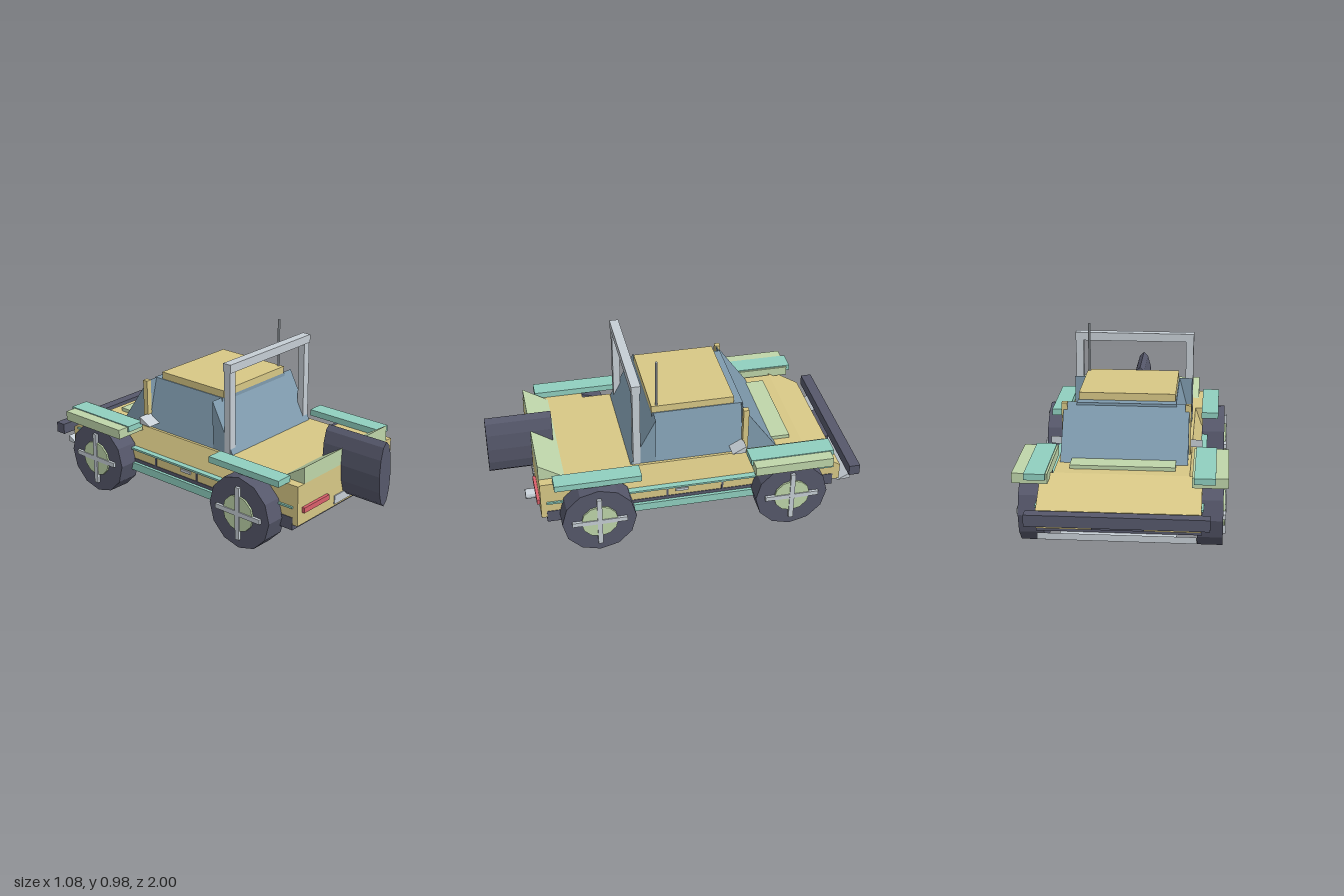
import * as THREE from 'three';

const mat = (name, color) => {
  const m = new THREE.MeshStandardMaterial({ color });
  m.name = name;
  m.flatShading = true;
  return m;
};

export function createModel() {
  const yellow = mat('sand yellow', 0xd8c886);
  const green = mat('pale green', 0xbfd6aa);
  const teal = mat('teal', 0x90d0c0);
  const glass = mat('slate glass', 0x7f9bae);
  const dark = mat('dark rubber', 0x56586b);
  const silver = mat('silver', 0xc6ced5);
  const red = mat('lamp red', 0xda606b);

  const car = new THREE.Group();
  car.name = 'offRoadCar';

  const add = (name, geometry, material, parent = car) => {
    const mesh = new THREE.Mesh(geometry, material);
    mesh.name = name;
    parent.add(mesh);
    return mesh;
  };
  // Box given by its limits on each axis
  const box = (name, material, [x0, x1], [y0, y1], [z0, z1], parent) => {
    const g = new THREE.BoxGeometry(x1 - x0, y1 - y0, z1 - z0);
    g.translate((x0 + x1) / 2, (y0 + y1) / 2, (z0 + z1) / 2);
    return add(name, g, material, parent);
  };
  // The same box on both sides of the car
  const pair = (name, material, [x0, x1], y, z) => {
    box(name + 'Left', material, [x0, x1], y, z);
    box(name + 'Right', material, [-x1, -x0], y, z);
  };
  const extrude = (points, depth) => {
    const shape = new THREE.Shape(points.map(([a, b]) => new THREE.Vector2(a, b)));
    return new THREE.ExtrudeGeometry(shape, { depth, bevelEnabled: false });
  };
  // Side profile of [z, y] points, extruded across x
  const across = (name, material, points, x0, x1) => {
    const g = extrude(points, x1 - x0);
    g.translate(0, 0, -(x1 - x0) / 2);
    g.rotateY(-Math.PI / 2);
    g.translate((x0 + x1) / 2, 0, 0);
    return add(name, g, material);
  };
  // Cross-section of [x, y] points, extruded along z
  const along = (name, material, points, z0, z1) =>
    add(name, extrude(points, z1 - z0).translate(0, 0, z0), material);

  // Body: lower tub, tapered middle, square rear, sloping nose
  const waist = 0.275;
  box('chassis', dark, [-0.413, 0.413], [0.15, 0.22], [-0.86, 0.73]);
  box('lowerBody', yellow, [-0.41, 0.41], [0.18, waist], [-0.9, 0.76]);
  along('middleBody', yellow,
    [[-0.39, waist], [0.39, waist], [0.345, 0.4], [-0.345, 0.4]], -0.7, 0.42);
  box('rearBody', yellow, [-0.41, 0.41], [waist, 0.4], [0.42, 0.76]);
  across('nose', yellow, [[-0.9, waist], [-0.7, waist], [-0.7, 0.4]], -0.41, 0.41);
  across('tailSpoiler', green, [[0.62, 0.4], [0.76, 0.4], [0.76, 0.49]], -0.36, 0.36);
  box('cowl', green, [-0.27, 0.27], [0.4, 0.42], [-0.64, 0.55 - 1.08]);

  // Cabin
  along('sideWindows', glass,
    [[-0.33, 0.4], [0.33, 0.4], [0.26, 0.67], [-0.26, 0.67]], -0.37, 0.13);
  across('windscreen', glass, [[-0.55, 0.4], [-0.36, 0.4], [-0.36, 0.67]], -0.33, 0.33);
  across('rearWindow', glass, [[0.12, 0.4], [0.26, 0.4], [0.12, 0.67]], -0.33, 0.33);
  box('roof', yellow, [-0.255, 0.255], [0.67, 0.71], [-0.32, 0.13]);
  pair('pillar', yellow, [0.31, 0.34], [0.4, 0.67], [-0.385, -0.355]);

  // Roll bar and aerial
  pair('rollBarPost', silver, [0.29, 0.333], [0.4, 0.86], [0.205, 0.245]);
  box('rollBarTop', silver, [-0.335, 0.335], [0.857, 0.903], [0.2, 0.25]);
  const aerial = add('aerial', new THREE.CylinderGeometry(0.007, 0.007, 0.31, 8), silver);
  aerial.position.set(0.245, 0.825, 0.1);

  // Fenders, sills, trim and door details
  pair('frontFender', green, [0.36, 0.54], [0.38, 0.433], [-0.81, -0.38]);
  pair('frontFenderTop', teal, [0.37, 0.477], [0.405, 0.438], [-0.83, -0.37]);
  pair('rearFender', teal, [0.385, 0.48], [0.4, 0.435], [0.225, 0.69]);
  pair('sill', teal, [0.4, 0.43], [0.155, 0.2], [-0.42, 0.29]);
  pair('trimStripe', teal, [0.38, 0.42], [0.272, 0.283], [-0.86, 0.73]);
  for (const z of [0.075, -0.23])
    pair('doorGap', dark, [0.408, 0.415], [0.22, 0.272], [z - 0.005, z + 0.005]);
  pair('doorHandle', silver, [0.405, 0.418], [0.247, 0.263], [-0.04, 0.03]);
  for (const [name, x0, x1] of [['mirrorLeft', 0.32, 0.4], ['mirrorRight', -0.4, -0.32]])
    across(name, silver, [[-0.36, 0.435], [-0.285, 0.435], [-0.285, 0.475]].map(
      ([z, y]) => [-0.645 - z, y]), x0, x1);

  // Nose equipment
  box('bumper', dark, [-0.455, 0.455], [0.23, 0.29], [-1, -0.94]);
  box('grille', dark, [-0.13, 0.13], [0.19, 0.265], [-0.925, -0.9]);
  pair('headlamp', green, [0.14, 0.37], [0.2, 0.255], [-0.91, -0.9]);
  box('skidPlate', silver, [-0.29, 0.29], [0.13, 0.15], [-0.92, -0.76]);
  across('splitter', silver, [[-0.975, 0.155], [-0.9, 0.15], [-0.975, 0.19]], -0.39, 0.39);

  // Tail equipment
  pair('tailLamp', red, [0.167, 0.375], [0.247, 0.276], [0.755, 0.777]);
  box('numberPlate', silver, [-0.103, 0.103], [0.192, 0.24], [0.757, 0.766]);
  const exhaust = add('exhaust', new THREE.CylinderGeometry(0.028, 0.028, 0.1, 12), silver);
  exhaust.rotation.x = Math.PI / 2;
  exhaust.position.set(0.188, 0.175, 0.775);
  const spareGeometry = new THREE.CylinderGeometry(0.18, 0.18, 0.36, 12);
  spareGeometry.rotateX(Math.PI / 2).scale(0.28, 1, 1);
  add('spareWheel', spareGeometry, dark).position.set(0, 0.398, 0.82);

  // Wheels: tyre, hub disc and cross-shaped spokes
  const disc = (r, x0, x1) => new THREE.CylinderGeometry(r, r, x1 - x0, 12)
    .rotateZ(Math.PI / 2).translate((x0 + x1) / 2, 0, 0);
  for (const [zName, z] of [['rear', 0.463], ['front', -0.593]]) {
    for (const [xName, side] of [['Left', 1], ['Right', -1]]) {
      const wheel = new THREE.Group();
      wheel.name = `${zName}Wheel${xName}`;
      wheel.position.set(0, 0.2, z);
      if (side < 0) wheel.rotation.y = Math.PI;
      // Stand the twelve-sided tyre on a corner
      add('tyre', disc(0.2, 0.388, 0.517), dark, wheel);
      add('hub', disc(0.1, 0.51, 0.527), green, wheel);
      box('spokeUpright', silver, [0.515, 0.533], [-0.148, 0.148], [-0.013, 0.013], wheel);
      box('spokeLevel', silver, [0.515, 0.532], [-0.013, 0.013], [-0.148, 0.148], wheel);
      car.add(wheel);
    }
  }
  return car;
}
